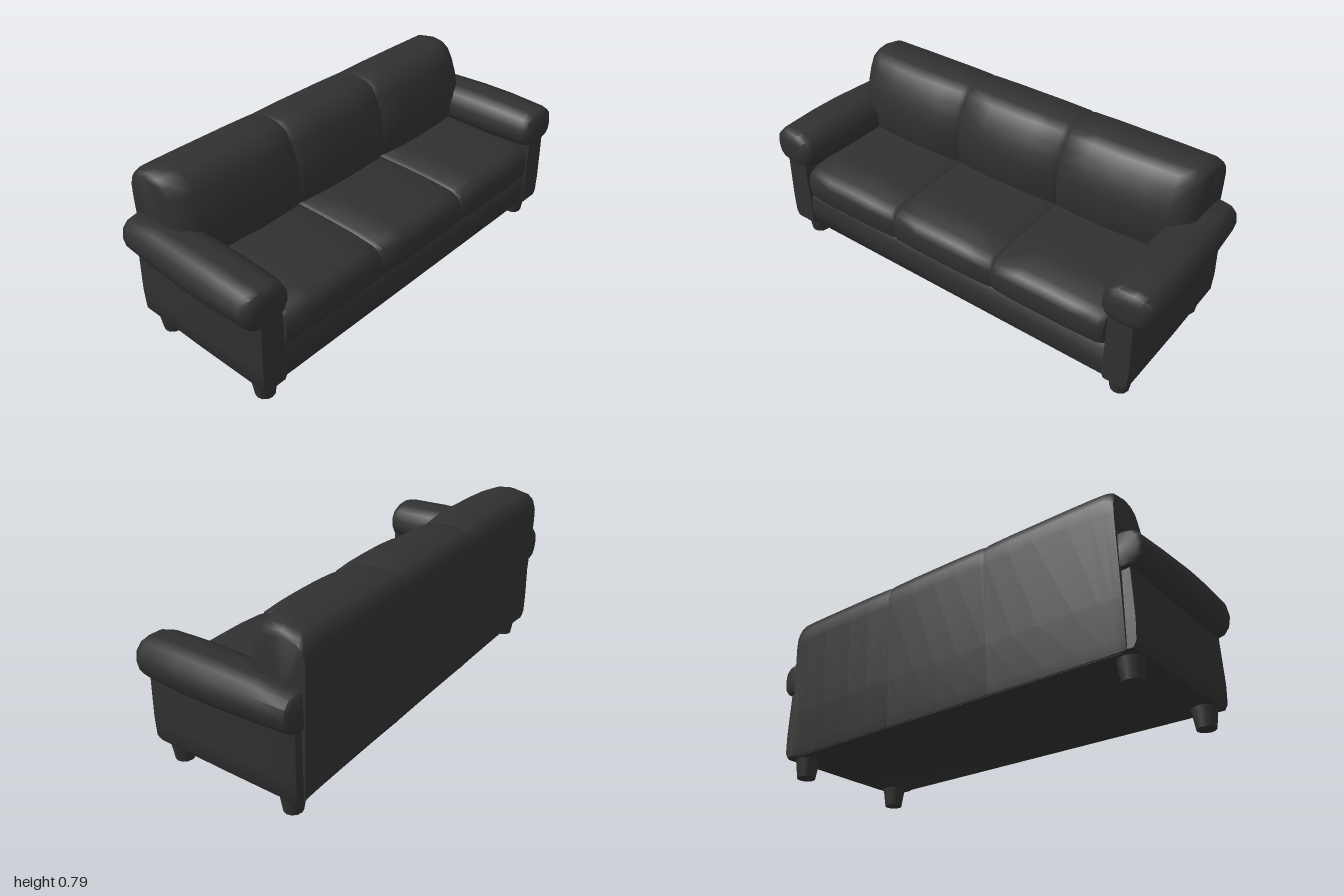
import * as THREE from 'three';
import { toCreasedNormals } from 'three/addons/utils/BufferGeometryUtils.js';

// Sweep a closed profile [a, b] through stations [t, scaleA, scaleB], scaling about an anchor.
// along 'z': a = x, b = y, t = z.  along 'x': a = z, b = y, t = x.
function loft(profile, stations, anchor, along, flip = 1) {
  const pos = [], idx = [], n = profile.length;
  const put = (a, b, t) => (along === 'z' ? pos.push(a, b, t * flip) : pos.push(t, b, a * flip));
  for (const [t, sa, sb] of stations) {
    for (const [a, b] of profile) put(anchor[0] + (a - anchor[0]) * sa, anchor[1] + (b - anchor[1]) * sb, t);
  }
  for (let s = 0; s < stations.length - 1; s++) {
    for (let i = 0; i < n; i++) {
      const p = s * n + i, q = s * n + (i + 1) % n;
      idx.push(p, q, q + n, p, q + n, p + n);
    }
  }
  // end caps fan out from the middle of each end ring
  const ma = profile.reduce((s, p) => s + p[0], 0) / n, mb = profile.reduce((s, p) => s + p[1], 0) / n;
  [0, stations.length - 1].forEach((s, end) => {
    const [t, sa, sb] = stations[s], c = pos.length / 3;
    put(anchor[0] + (ma - anchor[0]) * sa, anchor[1] + (mb - anchor[1]) * sb, t);
    for (let i = 0; i < n; i++) {
      const p = s * n + i, q = s * n + (i + 1) % n;
      end ? idx.push(c, p, q) : idx.push(c, q, p);
    }
  });
  // turn all faces outward: mirrored or swapped axes reverse the winding
  if ((along === 'z' ? 1 : -1) * flip < 0) {
    for (let i = 0; i < idx.length; i += 3) [idx[i], idx[i + 1]] = [idx[i + 1], idx[i]];
  }
  const g = new THREE.BufferGeometry();
  g.setAttribute('position', new THREE.Float32BufferAttribute(pos, 3));
  g.setIndex(idx);
  return toCreasedNormals(g, 0.85);
}

export function createModel() {
  const sofa = new THREE.Group();
  sofa.name = 'sofa';
  const leather = new THREE.MeshStandardMaterial({ color: 0x303030 });
  leather.name = 'charcoal leather';
  const add = (name, geometry) => {
    const m = new THREE.Mesh(geometry, leather);
    m.name = name;
    sofa.add(m);
    return m;
  };

  // base under the seat
  add('base', loft(
    [[-0.35, 0.087], [0.345, 0.087], [0.36, 0.1], [0.365, 0.17], [0.36, 0.235], [0.34, 0.26], [-0.35, 0.26]],
    [[-0.86, 1, 1], [0.86, 1, 1]], [0, 0.087], 'z'));

  // back cushions: rounded top, leaning rear face, bulging front
  const back = [[-0.355, 0.09], [-0.12, 0.09], [-0.085, 0.38], [-0.06, 0.45], [-0.053, 0.53], [-0.057, 0.59],
    [-0.072, 0.645], [-0.1, 0.71], [-0.132, 0.757], [-0.18, 0.779], [-0.25, 0.787], [-0.34, 0.774],
    [-0.37, 0.755], [-0.387, 0.715], [-0.389, 0.66], [-0.367, 0.3], [-0.36, 0.13]];
  const backAnchor = [-0.378, 0.09];
  add('backCushionMiddle', loft(back,
    [[-0.27, 0.9, 0.987], [-0.25, 0.95, 0.996], [-0.12, 0.99, 1], [0, 1, 1], [0.12, 0.99, 1], [0.25, 0.95, 0.996], [0.27, 0.9, 0.987]],
    backAnchor, 'z'));
  const backEnd = [[0.27, 0.9, 0.987], [0.29, 0.95, 0.996], [0.4, 0.99, 1], [0.52, 1, 1], [0.68, 0.97, 1],
    [0.79, 0.93, 0.998], [0.845, 0.86, 0.994], [0.873, 0.77, 0.975], [0.886, 0.66, 0.95]];

  // seat cushions: crowned top, soft overhanging front
  const seat = [[-0.2, 0.25], [0.345, 0.25], [0.375, 0.262], [0.386, 0.3], [0.385, 0.36], [0.368, 0.395],
    [0.33, 0.414], [0.22, 0.425], [0.05, 0.43], [-0.2, 0.43]];
  const seatAnchor = [0, 0.25];
  add('seatCushionMiddle', loft(seat,
    [[-0.268, 0.96, 0.9], [-0.253, 0.985, 0.955], [-0.13, 1, 0.99], [0, 1, 1], [0.13, 1, 0.99], [0.253, 0.985, 0.955], [0.268, 0.96, 0.9]],
    seatAnchor, 'z'));
  const seatEnd = [[0.268, 0.96, 0.9], [0.283, 0.985, 0.955], [0.4, 1, 0.99], [0.53, 1, 1], [0.66, 1, 0.99],
    [0.775, 0.985, 0.955], [0.8, 0.95, 0.9]];

  // arm panel and rolled arm top, as z-y sections swept front to back
  const panel = [[0.815, 0.087], [0.915, 0.087], [0.93, 0.11], [0.934, 0.2], [0.925, 0.46], [0.81, 0.46], [0.803, 0.11]];
  const panelRun = [[-0.358, 0.9, 0.97], [-0.345, 1, 1], [0, 1.04, 1], [0.35, 1, 1], [0.368, 0.9, 0.97]];
  const roll = [[0.82, 0.395], [0.925, 0.398], [0.962, 0.408], [0.988, 0.44], [0.999, 0.49], [0.99, 0.54], [0.96, 0.57],
    [0.91, 0.58], [0.84, 0.576], [0.79, 0.553], [0.765, 0.505], [0.765, 0.455], [0.785, 0.415]];
  const rollRun = [[-0.37, 0.7, 0.76], [-0.358, 0.83, 0.87], [-0.2, 0.92, 0.94], [0, 1, 1], [0.15, 1, 1],
    [0.33, 0.95, 0.92], [0.36, 0.87, 0.87], [0.378, 0.66, 0.6], [0.381, 0.4, 0.35]];

  for (const [side, f] of [['left', -1], ['right', 1]]) {
    add(side + 'BackCushion', loft(back, backEnd, backAnchor, 'z', f));
    add(side + 'SeatCushion', loft(seat, seatEnd, seatAnchor, 'z', f));
    add(side + 'ArmPanel', loft(panel, panelRun, [0.868, 0.27], 'x', f));
    add(side + 'ArmRoll', loft(roll, rollRun, [0.88, 0.48], 'x', f));
    // tapered feet
    for (const [end, x] of [['Rear', -0.281], ['Front', 0.289]]) {
      const foot = new THREE.CylinderGeometry(0.056, 0.041, 0.1, 12);
      const leg = add(side + end + 'Leg', foot);
      leg.position.set(x, 0.05, f * 0.858);
    }
  }
  return sofa;
}
